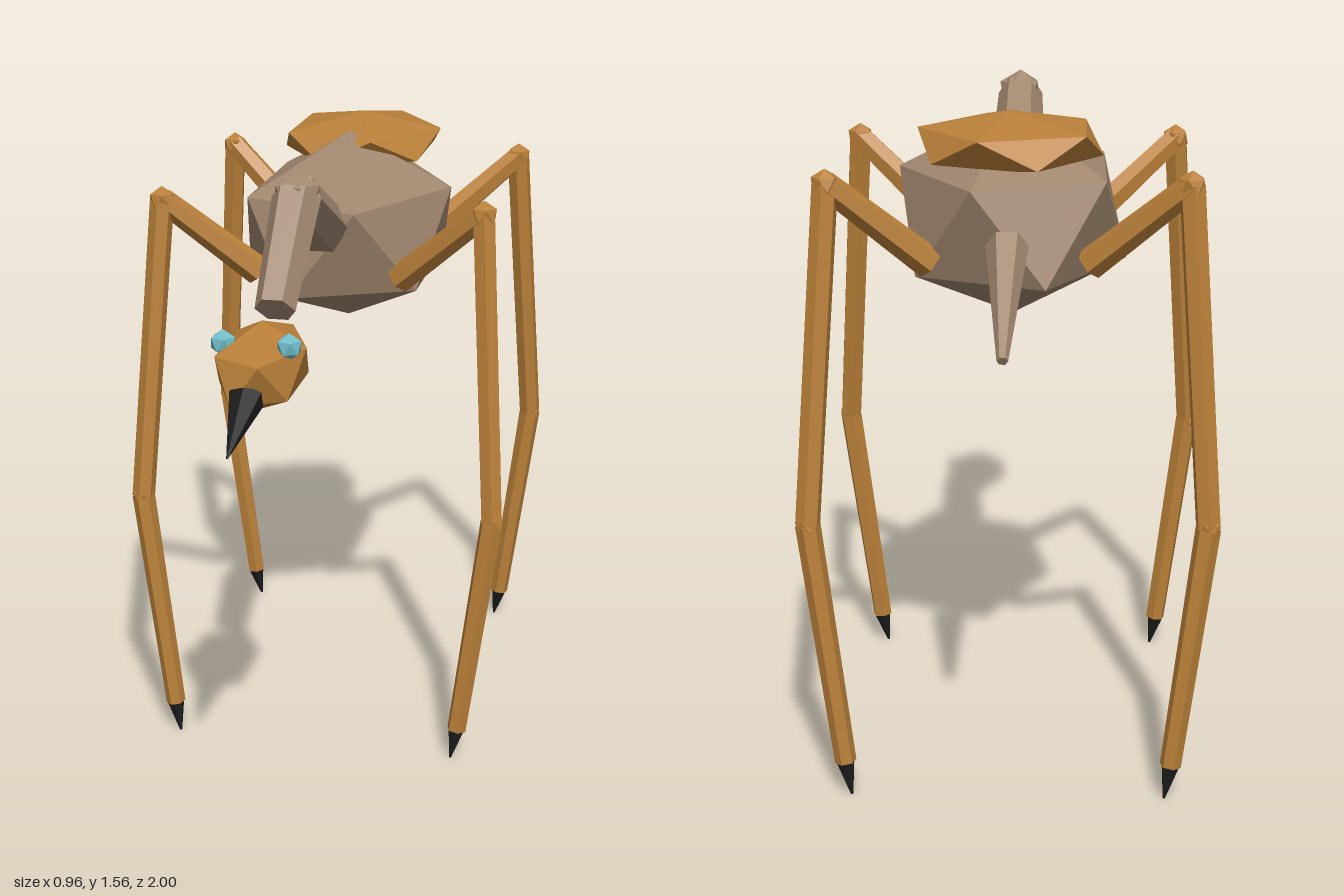
import * as THREE from 'three';
import { ConvexGeometry } from 'three/addons/geometries/ConvexGeometry.js';

const material = (name, color) => {
  const m = new THREE.MeshStandardMaterial({ color, flatShading: true });
  m.name = name;
  return m;
};

export function createModel() {
  const hide = material('greyBrownHide', 0xa1876f);
  const shell = material('amberShell', 0xba8039);
  const horn = material('blackHorn', 0x1c1c1c);
  const glass = material('paleBlueEye', 0x70bcc9);

  const model = new THREE.Group();
  model.name = 'longLeggedCreature';

  // Twenty-sided ball standing on a corner, scaled to radii (rx, ry, rz)
  function ball(parent, name, mat, centre, [rx, ry, rz]) {
    const points = [new THREE.Vector3(0, 1, 0), new THREE.Vector3(0, -1, 0)];
    for (let i = 0; i < 10; i++) {
      const a = (i * Math.PI) / 5;
      const y = i % 2 ? -0.4472 : 0.4472;
      points.push(new THREE.Vector3(0.8944 * Math.cos(a), y, 0.8944 * Math.sin(a)));
    }
    const geometry = new ConvexGeometry(points).scale(rx, ry, rz);
    geometry.computeVertexNormals();
    const mesh = new THREE.Mesh(geometry, mat);
    mesh.name = name;
    mesh.position.set(...centre);
    parent.add(mesh);
  }

  // Six-sided tapered rod from a to b
  function rod(parent, name, mat, a, b, ra, rb, roll = 0) {
    const start = new THREE.Vector3(...a);
    const end = new THREE.Vector3(...b);
    const along = end.clone().sub(start);
    const geometry = new THREE.CylinderGeometry(rb, ra, along.length(), 6, 1, false, roll);
    const mesh = new THREE.Mesh(geometry, mat);
    mesh.name = name;
    mesh.position.copy(start).add(end).multiplyScalar(0.5);
    mesh.quaternion.setFromUnitVectors(new THREE.Vector3(0, 1, 0), along.normalize());
    parent.add(mesh);
  }

  // Body and back shell
  ball(model, 'body', hide, [0, 1.295, -0.27], [0.3, 0.245, 0.43]);
  ball(model, 'backShell', shell, [0, 1.49, -0.455], [0.235, 0.07, 0.28]);

  // Neck, bent at one joint, and tail
  const flatUp = Math.PI / 6;
  rod(model, 'lowerNeck', hide, [0, 1.365, 0.075], [0, 1.5, 0.35], 0.068, 0.058, flatUp);
  ball(model, 'neckJoint', hide, [0, 1.505, 0.345], [0.06, 0.057, 0.06]);
  rod(model, 'upperNeck', hide, [0, 1.5, 0.35], [0, 1.295, 0.57], 0.058, 0.047, flatUp);
  rod(model, 'tail', hide, [0, 1.3, -0.7], [0, 1.12, -0.99], 0.047, 0.012, flatUp);

  // Head, beak and eyes
  ball(model, 'head', shell, [0, 1.205, 0.69], [0.11, 0.1, 0.198]);
  rod(model, 'beak', horn, [0, 1.175, 0.835], [0, 1.1, 1], 0.04, 0.002);
  for (const side of [-1, 1]) {
    ball(model, side > 0 ? 'leftEye' : 'rightEye', glass, [side * 0.073, 1.267, 0.745], [0.03, 0.03, 0.03]);
  }

  // Four legs, mirrored left to right and front to back about the body's middle
  for (const side of [-1, 1]) {
    for (const end of [-1, 1]) {
      const leg = new THREE.Group();
      leg.name = (end > 0 ? 'front' : 'back') + (side > 0 ? 'Left' : 'Right') + 'Leg';
      const at = (x, y, z) => [side * x, y, -0.27 + end * z];
      const hip = at(0.18, 1.225, 0.265);
      const knee = at(0.4, 1.42, 0.36);
      const shin = at(0.45, 0.66, 0.435);
      const ankle = at(0.377, 0.08, 0.445);
      rod(leg, 'thigh', shell, hip, knee, 0.037, 0.03);
      ball(leg, 'kneeJoint', shell, knee, [0.034, 0.034, 0.034]);
      rod(leg, 'upperShin', shell, knee, shin, 0.03, 0.029);
      ball(leg, 'shinJoint', shell, shin, [0.031, 0.031, 0.031]);
      rod(leg, 'lowerShin', shell, shin, ankle, 0.029, 0.025);
      rod(leg, 'claw', horn, ankle, at(0.363, 0, 0.453), 0.022, 0.003);
      model.add(leg);
    }
  }
  return model;
}
